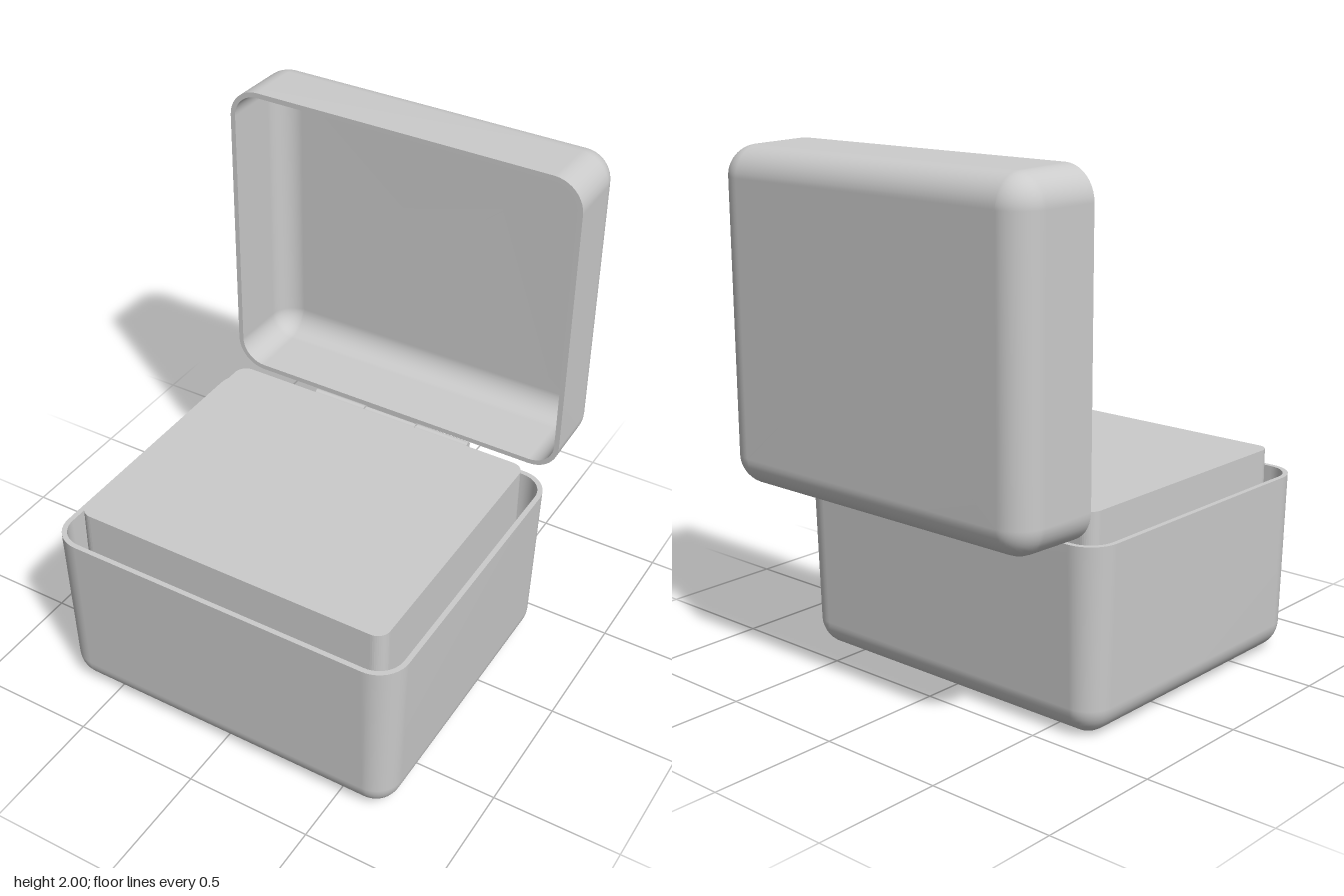
import * as THREE from 'three';

const material = new THREE.MeshStandardMaterial({ color: 0xcccccc });
const HX = 0.73, HZ = 0.63, CORNER = 0.12, WALL = 0.02, DRAFT = 0.025, CORNER_STEPS = 10;

function mesh(name, geometry, parent) {
  const m = new THREE.Mesh(geometry, material);
  m.name = name;
  parent.add(m);
  return m;
}

// Points of a rounded rectangle in the xz plane
function ring(hx, hz, r, y) {
  const pts = [];
  for (let q = 0; q < 4; q++) {
    const sx = q === 0 || q === 3 ? 1 : -1, sz = q < 2 ? 1 : -1;
    for (let i = 0; i <= CORNER_STEPS; i++) {
      const a = (q + i / CORNER_STEPS) * Math.PI / 2;
      pts.push([sx * (hx - r) + r * Math.cos(a), y, sz * (hz - r) + r * Math.sin(a)]);
    }
  }
  return pts;
}

const insetRing = (inset, y) => ring(HX - inset, HZ - inset, Math.max(CORNER - inset, 0.004), y);

// Skin joining successive rings
function skin(rings) {
  const n = rings[0].length, index = [];
  for (let k = 0; k < rings.length - 1; k++) {
    for (let j = 0; j < n; j++) {
      const a = k * n + j, b = k * n + (j + 1) % n;
      index.push(a, a + n, b, b, a + n, b + n);
    }
  }
  const g = new THREE.BufferGeometry();
  g.setAttribute('position', new THREE.Float32BufferAttribute(rings.flat(2), 3));
  g.setIndex(index);
  g.computeVertexNormals();
  return g;
}

// Cap, fillet and drafted wall, listed from the floor centre up to the rim
function trayRings(height, floorY, fillet, wall) {
  const rings = [ring(0, 0, 0, floorY)], steps = 10;
  for (let i = 0; i <= steps; i++) {
    const a = i / steps * Math.PI / 2;
    const y = floorY + fillet * (1 - Math.cos(a));
    rings.push(insetRing(wall + DRAFT * (height - y) + fillet * (1 - Math.sin(a)), y));
  }
  rings.push(insetRing(wall, height));
  return rings;
}

// Thin-walled open tray with a flat rim
function tray(name, height) {
  const g = new THREE.Group();
  g.name = name;
  mesh(name + 'Outside', skin(trayRings(height, 0, 0.11, 0)), g);
  mesh(name + 'Rim', skin([insetRing(0, height), insetRing(WALL, height)]), g);
  mesh(name + 'Inside', skin(trayRings(height, WALL, 0.095, WALL).reverse()), g);
  return g;
}

// Solid block with rounded vertical corners
function block(hx, hz, r, y0, y1) {
  const outline = new THREE.Shape(ring(hx, hz, r, 0).map(([x, , z]) => new THREE.Vector2(x, -z)));
  const g = new THREE.ExtrudeGeometry(outline, { depth: y1 - y0, bevelEnabled: false });
  return g.rotateX(-Math.PI / 2).translate(0, y0, 0);
}

export function createModel() {
  const model = new THREE.Group();
  model.name = 'hingedBox';

  const base = tray('base', 0.715);
  base.position.z = 0.18;
  model.add(base);

  // Cushion standing inside the base
  mesh('insert', block(0.645, 0.545, 0.05, WALL, 0.81), base);

  // Lid stands upright, opening forwards
  const lid = tray('lid', 0.335);
  lid.rotation.x = Math.PI / 2;
  lid.position.set(0, 1.37, -0.81);
  model.add(lid);

  // Three-knuckle hinge: outer knuckles on the base, middle one on the lid
  const hinge = new THREE.Group();
  hinge.name = 'hinge';
  hinge.position.set(0, 0.718, -0.472);
  model.add(hinge);
  for (const x of [-0.235, 0, 0.235]) {
    const barrel = new THREE.CylinderGeometry(0.018, 0.018, 0.228, 20).rotateZ(Math.PI / 2);
    mesh('hingeKnuckle', barrel, hinge).position.x = x;
    const leaf = x ? new THREE.BoxGeometry(0.228, 0.018, 0.03) : new THREE.BoxGeometry(0.228, 0.03, 0.014);
    mesh('hingeLeaf', leaf, hinge).position.set(x, x ? -0.012 : 0.013, x ? 0.015 : -0.01);
  }
  const pin = new THREE.CylinderGeometry(0.009, 0.009, 0.69, 12).rotateZ(Math.PI / 2);
  mesh('hingePin', pin, hinge);

  return model;
}
